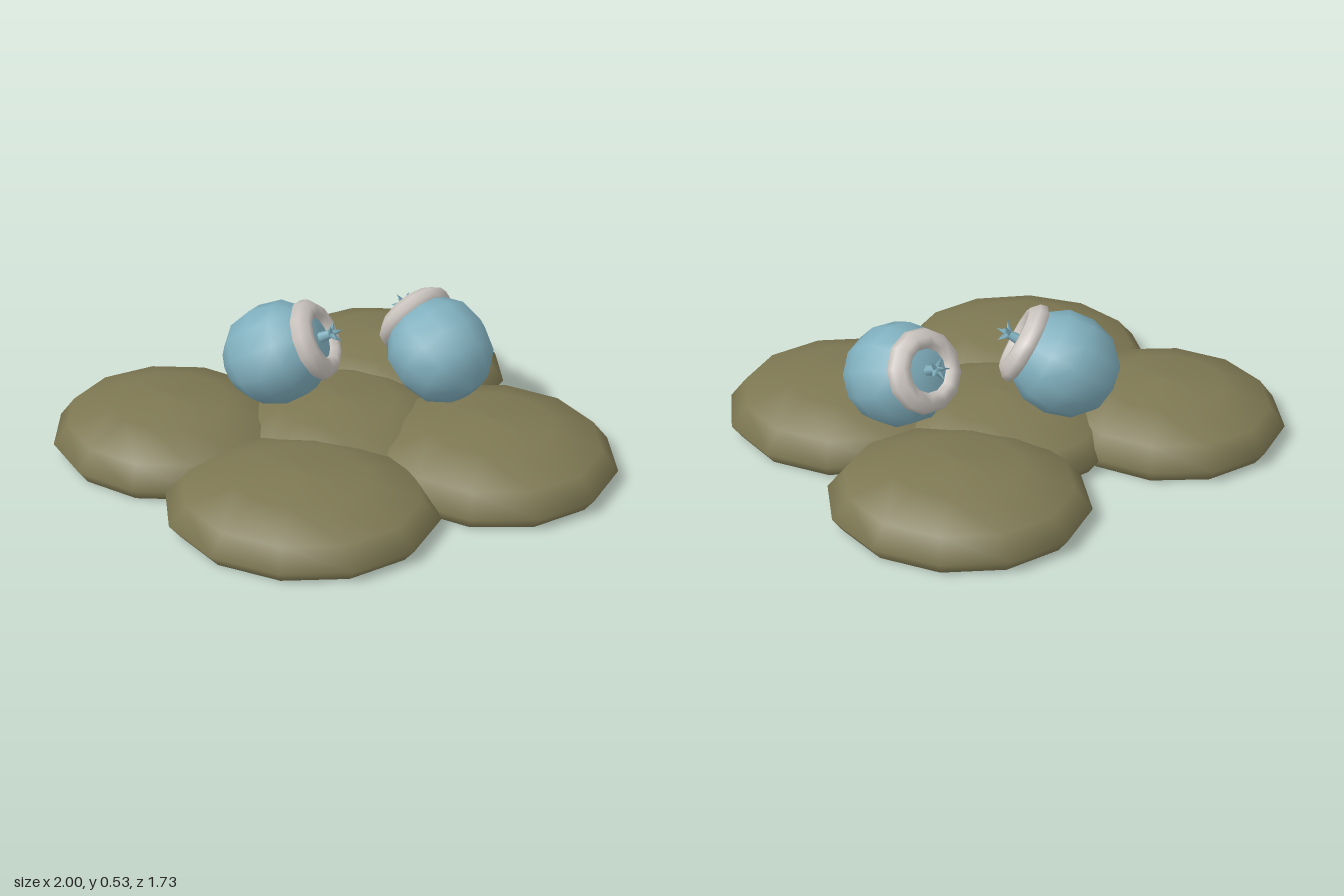
import * as THREE from 'three';

const material = (name, color) => {
  const m = new THREE.MeshStandardMaterial({ color });
  m.name = name;
  return m;
};

const lathe = (points, sides) =>
  new THREE.LatheGeometry(points.map(([r, y]) => new THREE.Vector2(r, y)), sides);

export function createModel() {
  const model = new THREE.Group();
  model.name = 'berriesOnLeaves';
  const olive = material('olive', 0x7d7752);
  const blue = material('berryBlue', 0x80afbe);
  const pale = material('paleRim', 0xcac4be);

  const add = (parent, name, geometry, mat) => {
    const mesh = new THREE.Mesh(geometry, mat);
    mesh.name = name;
    parent.add(mesh);
    return mesh;
  };

  // Flat-bottomed domed pads: x, z, x radius, z radius, height, turn
  const dome = lathe([[0.92, 0], [1, 0.25], [0.866, 0.625], [0.5, 0.9], [0, 1]], 12);
  const base = new THREE.CircleGeometry(0.92, 12).rotateX(Math.PI / 2);
  const pads = [
    ['rightPad', -0.57, 0.135, 0.43, 0.39, 0.2, -0.05],
    ['leftPad', 0.55, 0.02, 0.45, 0.41, 0.2, 0],
    ['backPad', 0.07, -0.49, 0.45, 0.38, 0.2, 0],
    ['frontPad', -0.01, 0.47, 0.47, 0.39, 0.187, 0.06],
    ['centrePad', 0, -0.02, 0.42, 0.4, 0.19, 0],
  ];
  for (const [name, x, z, rx, rz, height, turn] of pads) {
    const pad = new THREE.Group();
    pad.name = name;
    pad.position.set(x, 0, z);
    pad.rotation.y = turn;
    pad.scale.set(rx, height, rz);
    add(pad, 'padTop', dome, olive);
    add(pad, 'padBase', base, olive);
    model.add(pad);
  }

  // Berry parts, with the berry's axis along y
  const body = lathe([[0, -0.185], [0.09, -0.163], [0.155, -0.1], [0.182, -0.01],
    [0.173, 0.08], [0.125, 0.152], [0.08, 0.18], [0, 0.185]], 12);
  const rim = lathe([[0.125, 0.135], [0.148, 0.152], [0.142, 0.178], [0.115, 0.204],
    [0.088, 0.204], [0.075, 0.18]], 12);
  const stem = new THREE.CylinderGeometry(0.014, 0.02, 0.05, 6).translate(0, 0.205, 0);
  const spike = new THREE.ConeGeometry(0.015, 0.05, 4);

  const addBerry = (name, position, axis) => {
    const berry = new THREE.Group();
    berry.name = name;
    add(berry, 'berryBody', body, blue);
    add(berry, 'berryRim', rim, pale);
    add(berry, 'stem', stem, blue);
    // Little crown of splayed spikes
    for (let i = 0; i < 6; i++) {
      const a = (i / 5) * Math.PI * 2;
      const out = i < 5 ? 1 : 0;
      const dir = new THREE.Vector3(Math.cos(a) * out, 0.6, Math.sin(a) * out).normalize();
      const leaf = add(berry, 'crownSpike', spike, blue);
      leaf.position.set(0, 0.226, 0).addScaledVector(dir, 0.024);
      leaf.quaternion.setFromUnitVectors(new THREE.Vector3(0, 1, 0), dir);
    }
    berry.position.set(...position);
    berry.quaternion.setFromUnitVectors(
      new THREE.Vector3(0, 1, 0), new THREE.Vector3(...axis).normalize());
    model.add(berry);
  };
  addBerry('rightBerry', [-0.232, 0.323, -0.034], [0.887, 0.46, 0]);
  addBerry('leftBerry', [0.335, 0.323, -0.183], [-0.7, 0.46, -0.53]);

  return model;
}
